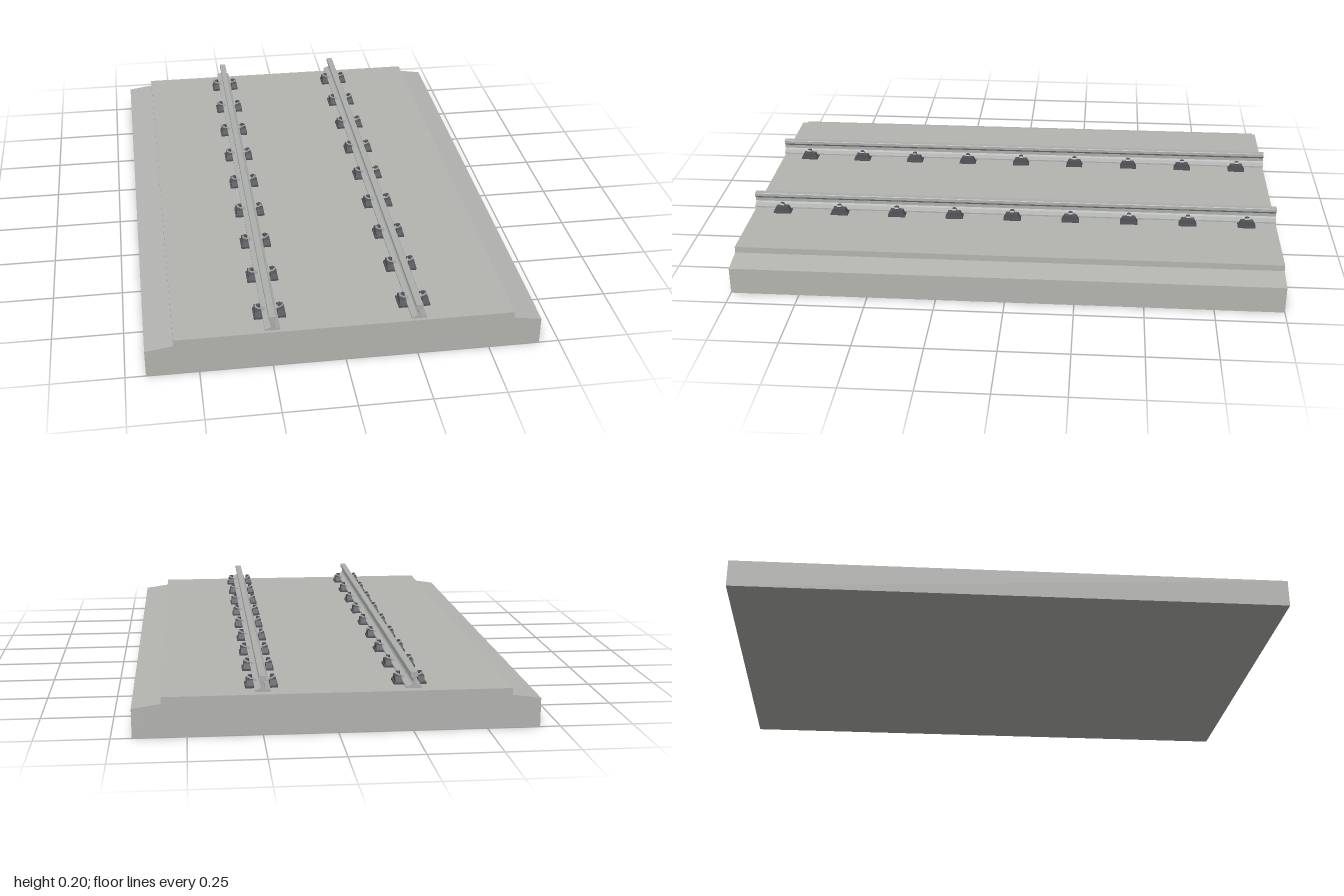
import * as THREE from 'three';

const material = (name, color) => {
  const m = new THREE.MeshStandardMaterial({ color });
  m.name = name;
  return m;
};

// Extrudes an outline of [x, y] points along z, centred on z = 0
function extrude(points, depth) {
  const shape = new THREE.Shape(points.map(([x, y]) => new THREE.Vector2(x, y)));
  const geo = new THREE.ExtrudeGeometry(shape, { depth, bevelEnabled: false });
  return geo.translate(0, 0, -depth / 2);
}

// Completes a right-hand half outline with its mirror image
const mirrored = (half) => [...half, ...half.slice().reverse().map(([x, y]) => [-x, y])];

export function createModel() {
  const concrete = material('concrete', 0xb4b4b1);
  const steel = material('rail steel', 0xaeb0ae);
  const iron = material('dark iron', 0x54545a);
  const root = new THREE.Group();
  root.name = 'trackSlab';

  const add = (parent, name, geo, mat) => {
    const mesh = new THREE.Mesh(geo, mat);
    mesh.name = name;
    parent.add(mesh);
    return mesh;
  };

  // Concrete bed with sloping lower shoulders
  const bed = mirrored([[0.68, 0], [0.68, 0.1], [0.583, 0.114], [0.583, 0.137]]);
  add(root, 'concreteBed', extrude(bed, 2), concrete);

  // Rail section: foot, web and head
  const railGeo = extrude(mirrored([
    [0.026, 0.146], [0.026, 0.151], [0.008, 0.159], [0.004, 0.165],
    [0.004, 0.178], [0.012, 0.187], [0.012, 0.198], [0.01, 0.2],
  ]), 2);

  // Fastening parts
  const plateGeo = new THREE.BoxGeometry(0.11, 0.007, 0.066).translate(0, 0.1405, 0);
  const padGeo = extrude([[-0.032, 0.142], [0.032, 0.142], [0.023, 0.162], [-0.023, 0.162]], 0.022)
    .rotateY(Math.PI / 2).translate(0.039, 0, 0);
  const clipGeo = extrude([[0.014, 0.156], [0.022, 0.154], [0.048, 0.169], [0.045, 0.174]], 0.016);
  const boltGeo = new THREE.CylinderGeometry(0.008, 0.008, 0.016, 6).translate(0.037, 0.167, 0);

  for (const [side, x] of [['left', 0.25], ['right', -0.25]]) {
    const line = new THREE.Group();
    line.name = side + 'RailLine';
    line.position.x = x;
    root.add(line);
    add(line, 'rail', railGeo, steel);

    // Nine fastenings spaced evenly along each rail
    for (let i = -4; i <= 4; i++) {
      const fastening = new THREE.Group();
      fastening.name = 'fastening';
      fastening.position.z = i * 0.222;
      line.add(fastening);
      add(fastening, 'basePlate', plateGeo, iron);
      for (const turn of [0, Math.PI]) {
        const half = new THREE.Group();
        half.name = 'clampHalf';
        half.rotation.y = turn;
        fastening.add(half);
        add(half, 'shoulderBlock', padGeo, iron);
        add(half, 'springClip', clipGeo, steel);
        add(half, 'bolt', boltGeo, iron);
      }
    }
  }
  return root;
}
